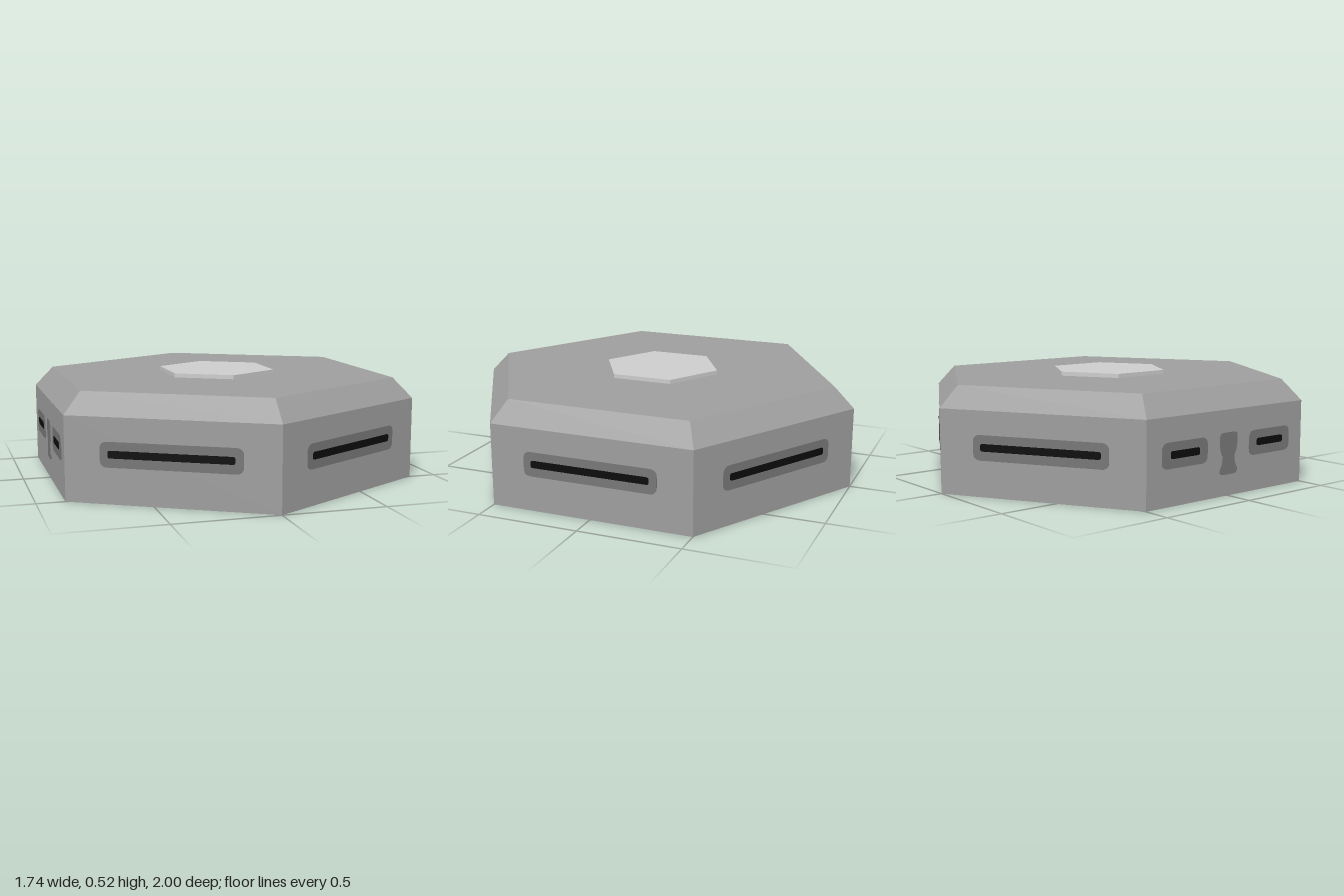
import * as THREE from 'three';

const APOTHEM = Math.sqrt(3) / 2;

function material(name, color) {
  const m = new THREE.MeshStandardMaterial({ color, flatShading: true, side: THREE.DoubleSide });
  m.name = name;
  return m;
}

// Rounded rectangle outline between two corners
function roundedRect(x0, y0, x1, y1, r) {
  const s = new THREE.Shape();
  s.moveTo(x0 + r, y0);
  s.lineTo(x1 - r, y0).quadraticCurveTo(x1, y0, x1, y0 + r);
  s.lineTo(x1, y1 - r).quadraticCurveTo(x1, y1, x1 - r, y1);
  s.lineTo(x0 + r, y1).quadraticCurveTo(x0, y1, x0, y1 - r);
  s.lineTo(x0, y0 + r).quadraticCurveTo(x0, y0, x0 + r, y0);
  return s;
}

// Upright panel with a slight waist
function waistedPanel() {
  const s = new THREE.Shape();
  s.moveTo(-0.035, 0.1);
  s.lineTo(0.035, 0.1);
  s.quadraticCurveTo(0.057, 0.1, 0.057, 0.125);
  s.quadraticCurveTo(0.036, 0.15, 0.038, 0.19);
  s.quadraticCurveTo(0.057, 0.21, 0.057, 0.27);
  s.quadraticCurveTo(0.057, 0.295, 0.035, 0.295);
  s.lineTo(-0.035, 0.295);
  s.quadraticCurveTo(-0.057, 0.295, -0.057, 0.27);
  s.quadraticCurveTo(-0.057, 0.21, -0.038, 0.19);
  s.quadraticCurveTo(-0.036, 0.15, -0.057, 0.125);
  s.quadraticCurveTo(-0.057, 0.1, -0.035, 0.1);
  return s;
}

export function createModel() {
  const model = new THREE.Group();
  model.name = 'hexagonalBunker';
  const concrete = material('concrete', 0x9e9e9e);
  const recess = material('recessGrey', 0x777777);
  const dark = material('slitBlack', 0x0c0c0c);
  const pale = material('paleGrey', 0xcccccc);

  const add = (parent, name, geometry, mat) => {
    const mesh = new THREE.Mesh(geometry, mat);
    mesh.name = name;
    parent.add(mesh);
    return mesh;
  };

  // Thin plate centred in the wall, so it shows inside and outside
  const plate = (wall, name, shape, thickness, mat) => {
    const g = new THREE.ExtrudeGeometry(shape, { depth: thickness, bevelEnabled: false, curveSegments: 5 });
    g.translate(0, 0, -thickness / 2);
    return add(wall, name, g, mat);
  };

  const firingSlit = (wall, centre, halfFrame, halfSlit) => {
    plate(wall, 'slitSurround',
      roundedRect(centre - halfFrame, 0.17, centre + halfFrame, 0.288, 0.035), 0.005, recess);
    plate(wall, 'firingSlit',
      roundedRect(centre - halfSlit, 0.213, centre + halfSlit, 0.248, 0.012), 0.009, dark);
  };

  // Open-bottomed shell: walls, sloped edge and flat roof
  const profile = [[1, 0], [1, 0.4], [0.9, 0.5], [0, 0.5]].map(([r, y]) => new THREE.Vector2(r, y));
  const shell = new THREE.LatheGeometry(profile, 6).toNonIndexed();
  shell.computeVertexNormals();
  add(model, 'shell', shell, concrete);

  // Raised roof hatch
  add(model, 'roofHatch', new THREE.CylinderGeometry(0.3, 0.3, 0.02, 6), pale).position.y = 0.511;

  // Details on each of the six walls; the wall on -x holds the door
  for (let i = 0; i < 6; i++) {
    const angle = Math.PI / 6 + (i * Math.PI) / 3;
    const wall = new THREE.Group();
    wall.name = i === 4 ? 'doorWall' : 'slitWall';
    wall.rotation.y = angle;
    wall.position.set(Math.sin(angle) * APOTHEM, 0, Math.cos(angle) * APOTHEM);
    if (i === 4) {
      plate(wall, 'door', waistedPanel(), 0.005, recess);
      for (const side of [-1, 1]) firingSlit(wall, side * 0.273, 0.138, 0.088);
    } else {
      firingSlit(wall, 0, 0.33, 0.293);
    }
    model.add(wall);
  }
  return model;
}
